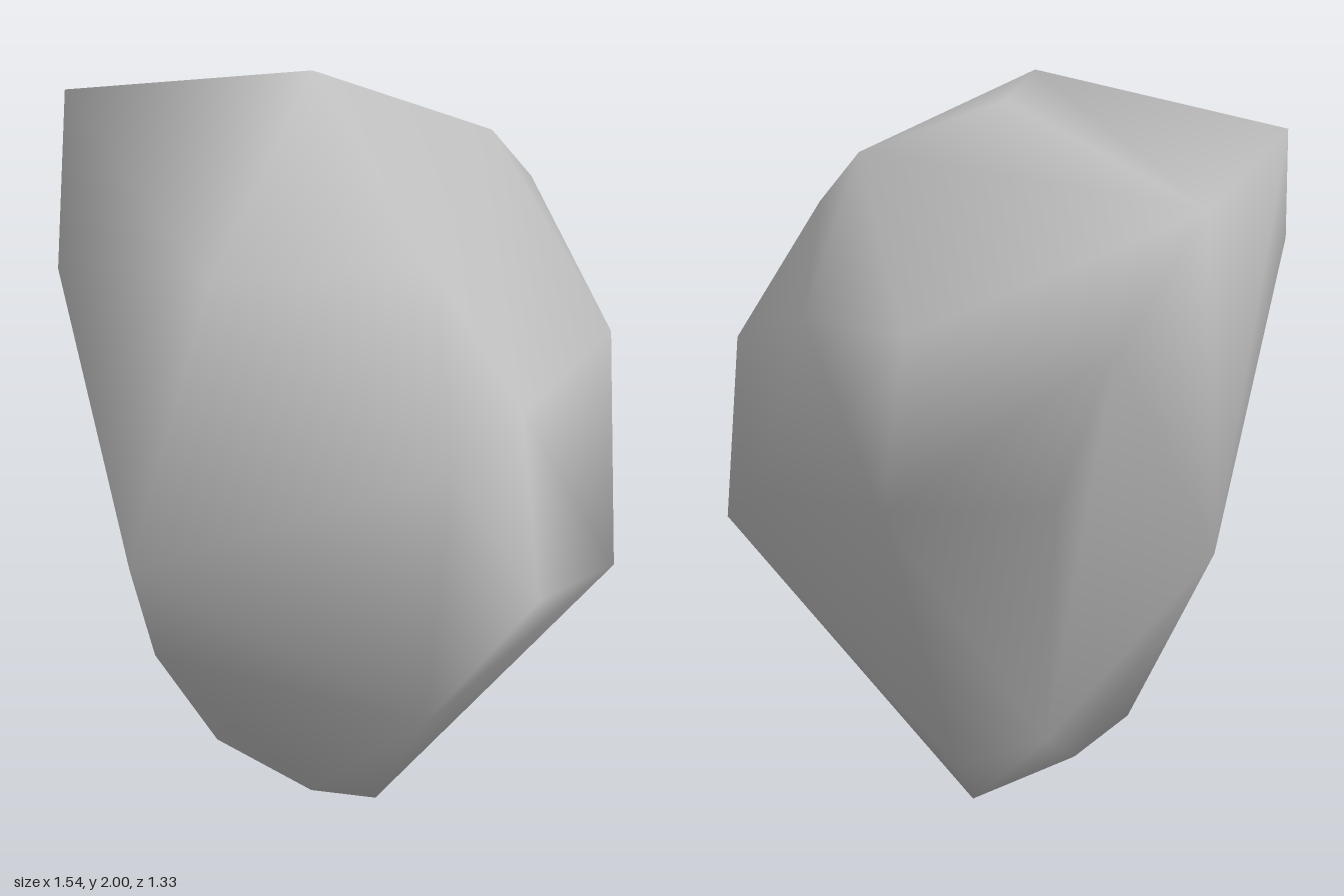
import * as THREE from 'three';
import { ConvexGeometry } from 'three/addons/geometries/ConvexGeometry.js';
import { mergeVertices } from 'three/addons/utils/BufferGeometryUtils.js';

// Corner points of the boulder, grouped from crown to foot
const crown = [
  [-0.06, 2, 0], [-0.06, 1.94, -0.13], [-0.73, 1.89, 0.24], [-0.775, 1.75, -0.17],
  [0.22, 1.81, -0.41], [0.29, 1.68, -0.49],
];
const shoulder = [
  [-0.475, 1.49, 0.56], [0, 1.51, 0.49], [0.37, 1.52, 0],
  [0.53, 1.28, -0.54], [0.21, 1.4, -0.665], [-0.12, 1.4, -0.655], [-0.67, 1.4, -0.435],
];
const waist = [
  [0.6, 1.14, -0.1], [0.61, 1.02, 0.2], [0.77, 0.67, 0.03], [0.74, 0.71, -0.31],
  [0.4, 0.9, -0.65], [-0.05, 0.9, -0.66], [-0.5, 0.95, -0.48],
  [-0.45, 0.67, 0.28], [-0.13, 0.73, 0.665],
];
const foot = [
  [-0.1, 0.49, 0.595], [0.55, 0.34, 0.24], [-0.31, 0.24, -0.28], [-0.18, 0.19, 0.25],
  [-0.2, 0.13, -0.01], [0.11, 0.085, 0.2], [-0.05, 0.14, -0.33], [0.05, 0, -0.13],
];

export function createModel() {
  const stone = new THREE.MeshStandardMaterial({ color: 0xc2c2c2 });
  stone.name = 'stoneGrey';

  // Convex shell with shared corners so the shading runs smoothly across facets
  const points = [...crown, ...shoulder, ...waist, ...foot].map((p) => new THREE.Vector3(...p));
  const hull = new ConvexGeometry(points);
  hull.deleteAttribute('normal');
  const geometry = mergeVertices(hull);
  geometry.computeVertexNormals();

  const boulder = new THREE.Mesh(geometry, stone);
  boulder.name = 'boulder';

  const group = new THREE.Group();
  group.name = 'rock';
  group.add(boulder);
  return group;
}
